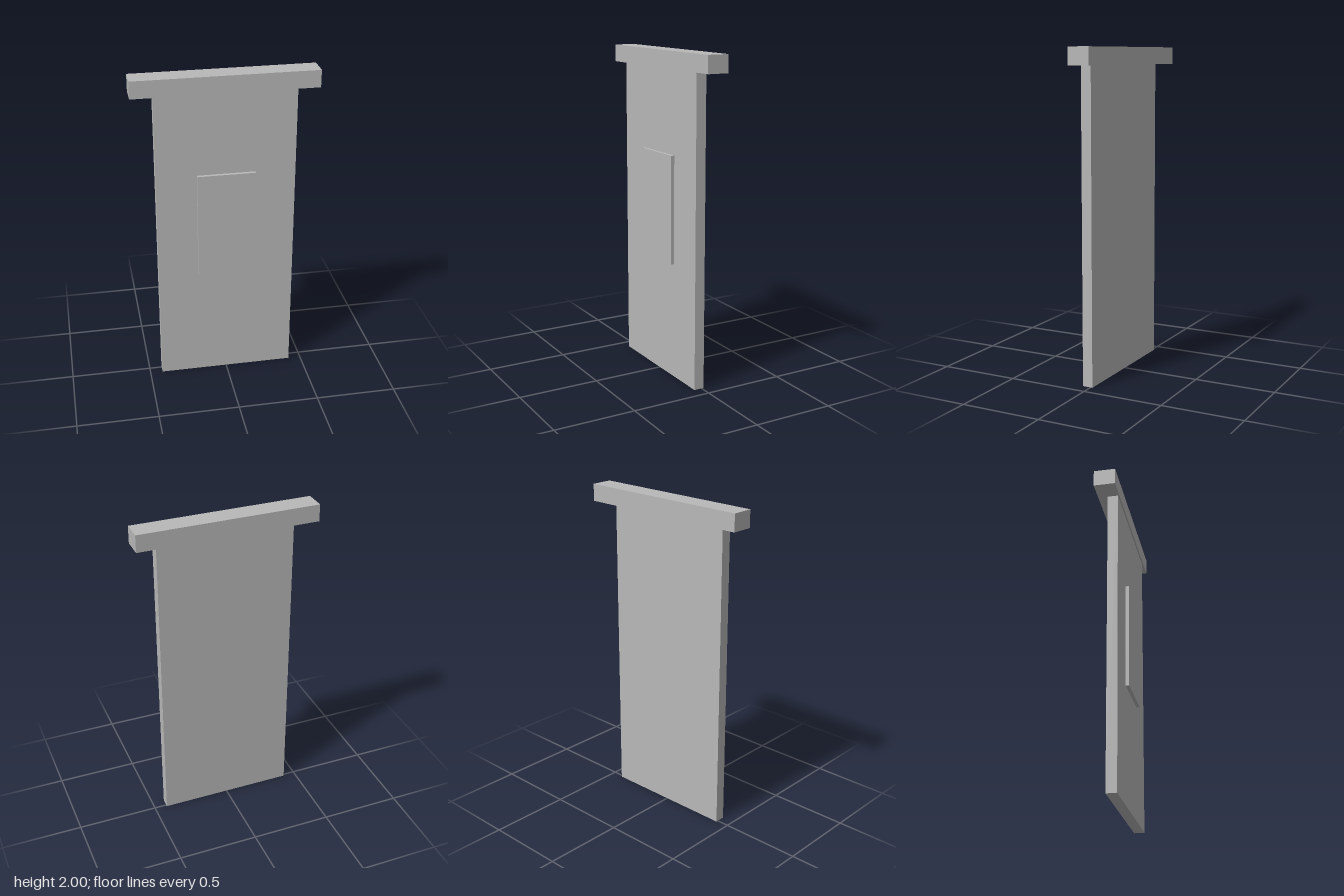
import * as THREE from 'three';

export function createModel() {
  const group = new THREE.Group();
  const grey = new THREE.MeshStandardMaterial({ color: 0xb8b8b8 });
  grey.name = 'grey';

  // Box given by its width and its y and z extents, centred on x = 0
  const addBox = (name, width, [y0, y1], [z0, z1]) => {
    const mesh = new THREE.Mesh(new THREE.BoxGeometry(width, y1 - y0, z1 - z0), grey);
    mesh.position.set(0, (y0 + y1) / 2, (z0 + z1) / 2);
    mesh.name = name;
    group.add(mesh);
  };

  addBox('hangingPanel', 0.844, [0, 1.895], [-0.013, 0.051]);
  addBox('topBeam', 1.108, [1.895, 2], [-0.073, 0.06]);
  addBox('frontPlate', 0.354, [0.725, 1.39], [0.051, 0.072]);

  return group;
}
